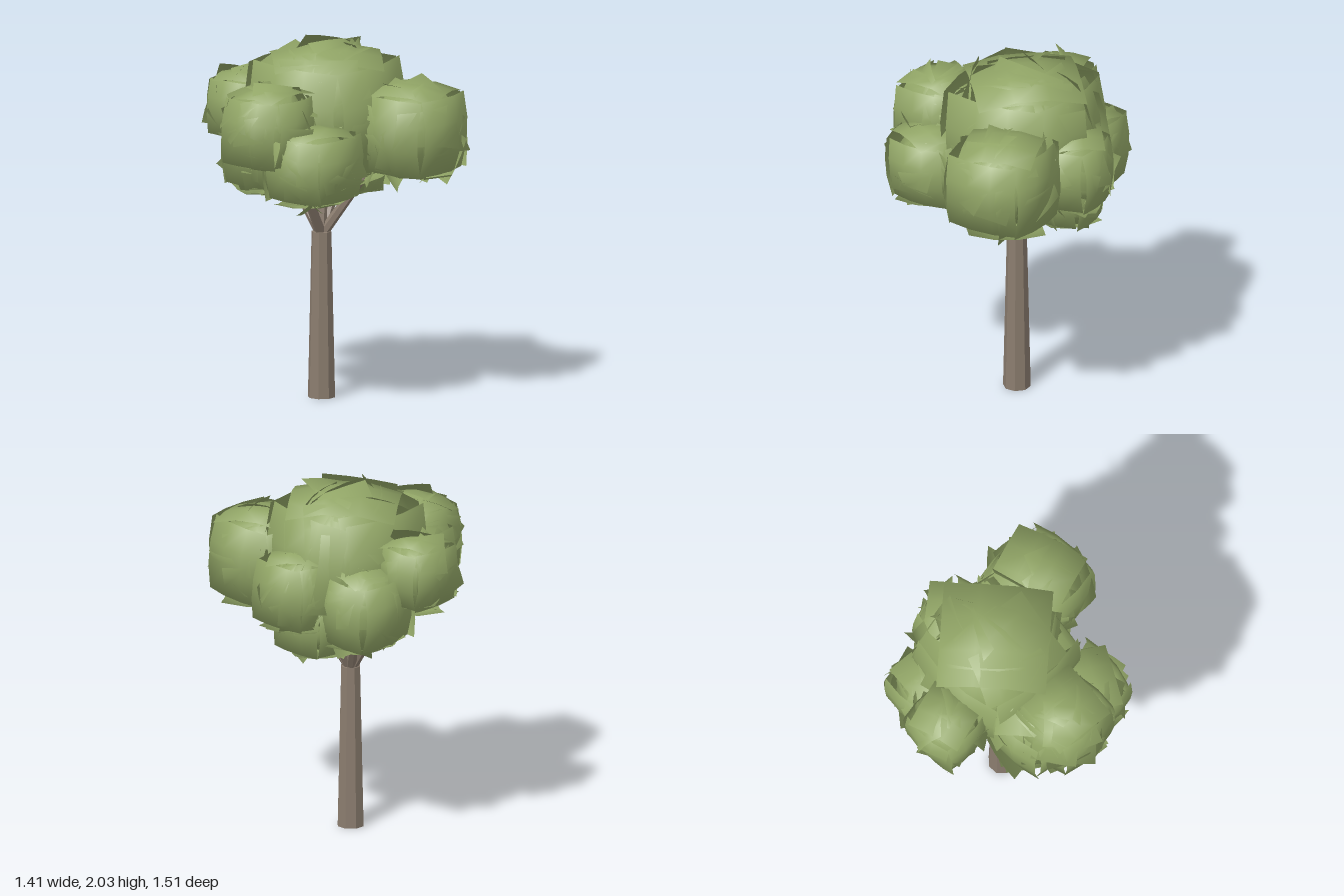
import * as THREE from 'three';
import { mergeGeometries } from 'three/addons/utils/BufferGeometryUtils.js';

const bark = new THREE.MeshStandardMaterial({ color: 0x8a7c6e, flatShading: true });
bark.name = 'bark brown';
const leaf = new THREE.MeshStandardMaterial({ color: 0x91a566, side: THREE.DoubleSide });
leaf.name = 'leaf green';

// Small seeded random generator, 0..1
function seeded(seed) {
  let s = seed;
  return () => {
    s = (s * 16807) % 2147483647;
    return s / 2147483647;
  };
}

// One leaf card: a square sheet gently bent round the clump
function leafCard(size, bendRadius) {
  const g = new THREE.PlaneGeometry(size, size, 3, 3);
  const p = g.attributes.position;
  for (let i = 0; i < p.count; i++) {
    const x = p.getX(i), y = p.getY(i);
    p.setZ(i, -0.4 * (x * x + y * y) / (2 * bendRadius));
  }
  return g;
}

// A round clump of overlapping cards with normals pointing out from its centre
function leafClump(r, seed) {
  const rnd = seeded(seed);
  const jitter = (a) => (rnd() * 2 - 1) * a;
  const up = new THREE.Vector3(0, 1, 0);
  const origin = new THREE.Vector3();
  const cards = [];
  const place = (dir, size, distance, tilt) => {
    const g = leafCard(size, r);
    const roll = Math.abs(dir.y) > 0.9 ? jitter(0.8) : jitter(tilt * 0.5);
    const m = new THREE.Matrix4().lookAt(dir, origin, up);
    m.multiply(new THREE.Matrix4().makeRotationFromEuler(new THREE.Euler(jitter(tilt), jitter(tilt), roll)));
    m.setPosition(dir.clone().multiplyScalar(distance));
    g.applyMatrix4(m);
    cards.push(g);
  };
  // Large cards facing the main directions
  for (const [x, y, z] of [[1, 0, 0], [-1, 0, 0], [0, 0, 1], [0, 0, -1], [0, 1, 0], [0, -1, 0]]) {
    place(new THREE.Vector3(x, y, z), r * 1.55, r * 0.98, 0.1);
  }
  // Smaller ruffled cards spread evenly over the ball
  const n = 48;
  for (let i = 0; i < n; i++) {
    const y = 1 - 2 * (i + 0.5) / n;
    const a = i * 2.39996 + seed;
    const q = Math.sqrt(1 - y * y);
    place(new THREE.Vector3(q * Math.cos(a), y, q * Math.sin(a)),
      r * (0.75 + 0.4 * rnd()), r * (0.66 + 0.26 * rnd()), 0.55);
  }
  const g = mergeGeometries(cards);
  const p = g.attributes.position, nor = g.attributes.normal;
  const v = new THREE.Vector3();
  for (let i = 0; i < p.count; i++) {
    v.fromBufferAttribute(p, i).normalize();
    nor.setXYZ(i, v.x, v.y, v.z);
  }
  return g;
}

// Tapered limb between two points
function limb(name, from, to, r0, r1, sides) {
  const a = new THREE.Vector3(...from), b = new THREE.Vector3(...to);
  const dir = b.clone().sub(a);
  const g = new THREE.CylinderGeometry(r1, r0, dir.length(), sides);
  g.rotateY(Math.PI / sides);
  const mesh = new THREE.Mesh(g, bark);
  mesh.name = name;
  mesh.quaternion.setFromUnitVectors(new THREE.Vector3(0, 1, 0), dir.normalize());
  mesh.position.copy(a).add(b).multiplyScalar(0.5);
  return mesh;
}

export function createModel() {
  const tree = new THREE.Group();
  tree.name = 'tree';

  // Trunk and the branches fanning from its top
  tree.add(limb('trunk', [0.072, 0, -0.047], [0.072, 0.93, -0.047], 0.077, 0.056, 8));
  const tips = [
    [-0.29, 1.45, 0.0], [0.35, 1.38, -0.06], [0.24, 1.5, 0.33],
    [0.06, 1.52, -0.45], [0.12, 1.5, -0.06], [0.3, 1.4, -0.33],
  ];
  const branches = new THREE.Group();
  branches.name = 'branches';
  for (const tip of tips) branches.add(limb('branch', [0.072, 0.91, -0.047], tip, 0.03, 0.02, 6));
  tree.add(branches);

  // Crown: centre x, y, z and radius of every clump
  const clumps = {
    crownTop: [0.12, 1.585, -0.05, 0.39],
    crownFront: [0.26, 1.52, 0.43, 0.275],
    crownRightUpper: [-0.41, 1.58, -0.06, 0.235],
    crownRightLower: [-0.33, 1.38, 0.18, 0.23],
    crownBackRight: [-0.25, 1.46, -0.11, 0.27],
    crownBack: [0.04, 1.59, -0.52, 0.2],
    crownBackLeft: [0.28, 1.4, -0.35, 0.24],
    crownBackLower: [0.2, 1.27, -0.27, 0.16],
    crownLeft: [0.43, 1.46, -0.02, 0.225],
    crownLeftLower: [0.36, 1.28, -0.08, 0.2],
    crownCore: [0.06, 1.39, 0.0, 0.22],
  };
  const crown = new THREE.Group();
  crown.name = 'crown';
  Object.entries(clumps).forEach(([name, [x, y, z, r]], i) => {
    const mesh = new THREE.Mesh(leafClump(r, 101 + i * 37), leaf);
    mesh.name = name;
    mesh.position.set(x, y, z);
    crown.add(mesh);
  });
  tree.add(crown);
  return tree;
}
